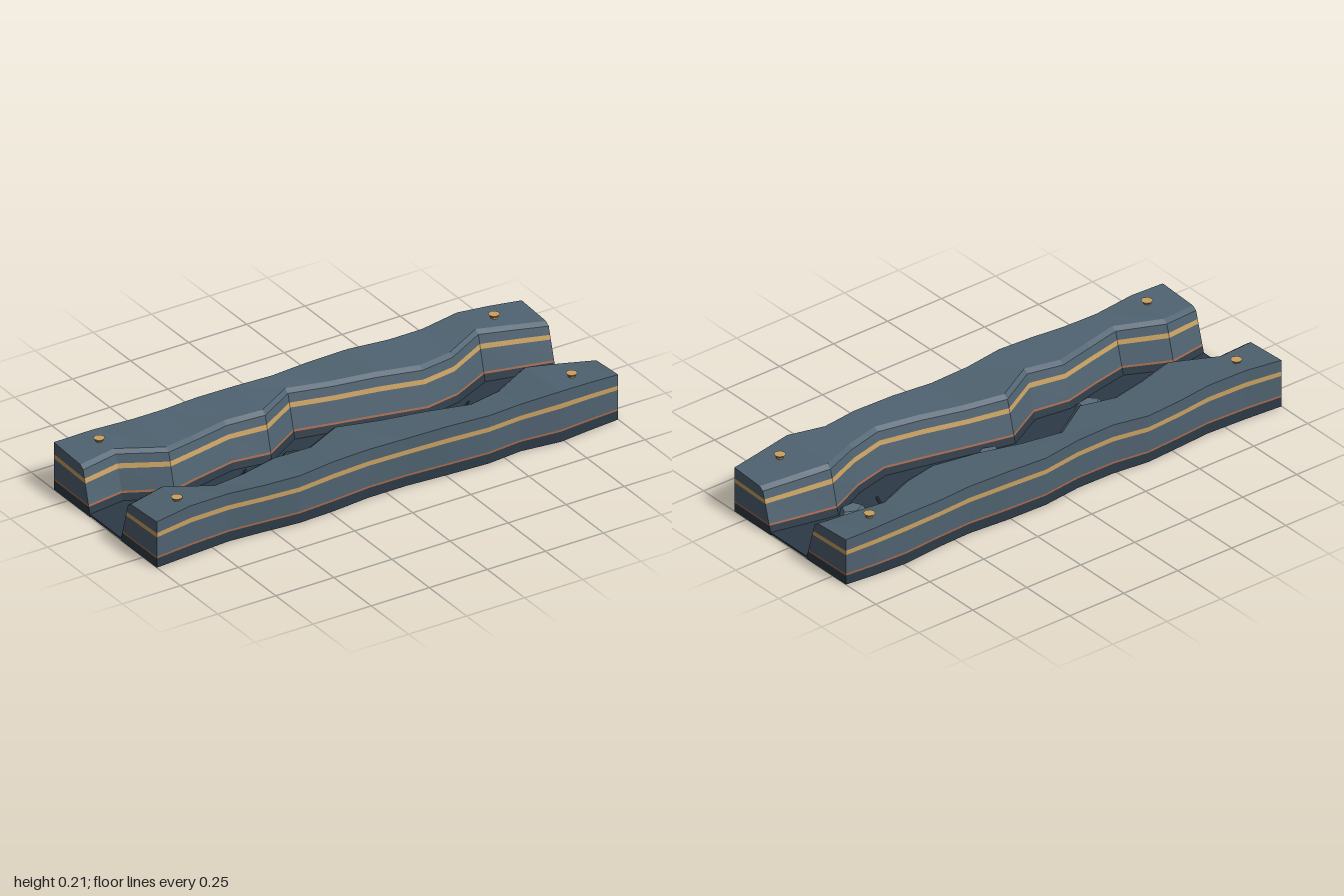
import * as THREE from 'three';

const mat = (name, color) => {
  const m = new THREE.MeshStandardMaterial({ color, flatShading: true });
  m.name = name;
  return m;
};

// stations along the trench: x, then [outer z, inner foot z, outer height, inner height] per wall
const X = [-1, -0.845, -0.675, -0.535, -0.385, -0.235, -0.075, 0.09, 0.26, 0.43, 0.575, 0.735, 0.87, 1];
const FRONT = {
  side: 1,
  out: [0.342, 0.33, 0.318, 0.328, 0.342, 0.336, 0.32, 0.32, 0.333, 0.342, 0.328, 0.348, 0.333, 0.321],
  foot: [0.1, 0.075, 0.16, 0.135, 0.1, 0.12, 0.035, 0.074, 0.115, 0.155, 0.122, 0.047, 0.077, 0.108],
  high: [0.19, 0.205, 0.198, 0.193, 0.195, 0.206, 0.2, 0.196, 0.201, 0.198, 0.195, 0.209, 0.198, 0.186],
};
const BACK = {
  side: -1,
  out: [0.348, 0.336, 0.328, 0.338, 0.348, 0.33, 0.328, 0.347, 0.342, 0.328, 0.333, 0.348, 0.34, 0.326],
  foot: [0.103, 0.123, 0.035, 0.068, 0.098, 0.073, 0.17, 0.133, 0.093, 0.055, 0.08, 0.155, 0.125, 0.096],
  high: [0.196, 0.206, 0.203, 0.196, 0.196, 0.206, 0.202, 0.198, 0.204, 0.199, 0.196, 0.209, 0.2, 0.19],
};

// closed solid through convex (z, y) sections, wound counter-clockwise seen from +x
function loft(sections) {
  const pos = [];
  const put = (i, j) => pos.push(X[i], sections[i][j][1], sections[i][j][0]);
  const tri = (...corners) => corners.forEach(([i, j]) => put(i, j));
  const n = sections[0].length, last = sections.length - 1;
  for (let i = 0; i < last; i++) {
    for (let j = 0; j < n; j++) {
      const k = (j + 1) % n;
      tri([i, j], [i, k], [i + 1, k]);
      tri([i, j], [i + 1, k], [i + 1, j]);
    }
  }
  for (let j = 1; j < n - 1; j++) {
    tri([0, 0], [0, j + 1], [0, j]);
    tri([last, 0], [last, j], [last, j + 1]);
  }
  const g = new THREE.BufferGeometry();
  g.setAttribute('position', new THREE.Float32BufferAttribute(pos, 3));
  g.computeVertexNormals();
  return g;
}

// one layer of a wall between two fractions of its height
function wallLayer(wall, f0, f1) {
  const { side, out, foot, high } = wall;
  return loft(X.map((_, i) => {
    const hOut = high[i], hIn = high[i] - 0.009;
    const inner = (f) => [side * (foot[i] + 0.052 * f), hIn * f];
    const pts = [[side * out[i], hOut * f0], inner(f0)];
    if (f1 === 1) pts.push(inner(0.93), [side * (foot[i] + 0.067), hIn]);
    else pts.push(inner(f1));
    pts.push([side * out[i], hOut * f1]);
    return side > 0 ? pts : pts.reverse();
  }));
}

export function createModel() {
  const model = new THREE.Group();
  model.name = 'trench';
  const slate = mat('slate', 0x4f6270);
  const dark = mat('dark slate', 0x2c3a46);
  const ochre = mat('ochre', 0xc8a062);
  const rust = mat('rust', 0xa5694c);
  const stone = mat('stone', 0x5a6c79);
  const black = mat('crack black', 0x1a232b);

  const add = (parent, name, geometry, material, x = 0, y = 0, z = 0) => {
    const m = new THREE.Mesh(geometry, material);
    m.name = name;
    m.position.set(x, y, z);
    parent.add(m);
    return m;
  };

  // layered walls
  const layers = [
    ['base', 0, 0.2, dark],
    ['rustSeam', 0.2, 0.24, rust],
    ['lowerRock', 0.24, 0.66, slate],
    ['ochreSeam', 0.66, 0.755, ochre],
    ['upperRock', 0.755, 1, slate],
  ];
  for (const [name, wall] of [['frontWall', FRONT], ['backWall', BACK]]) {
    const group = new THREE.Group();
    group.name = name;
    for (const [part, f0, f1, m] of layers) add(group, part, wallLayer(wall, f0, f1), m);
    model.add(group);
  }

  // thin floor following both wall feet
  add(model, 'floor', loft(X.map((_, i) => {
    const a = FRONT.foot[i] + 0.01, b = -BACK.foot[i] - 0.01;
    return [[a, 0.003], [b, 0.003], [b, 0.011], [a, 0.011]];
  })), dark);

  // five-sided stones, tall pale ones and low dark ones
  const rock = (name, m, x, z, r, height, turn) => {
    const g = new THREE.CylinderGeometry(r * 0.65, r, height, 5);
    g.rotateY(turn);
    g.scale(1, 1, 0.68);
    add(model, name, g, m, x, height / 2, z);
  };
  [[-0.82, 0.035], [-0.44, 0.068], [0.055, 0.03], [0.685, 0.035]].forEach(([x, z], i) =>
    rock('paleStone', stone, x, z, 0.067, 0.033, 0.4 + i * 0.5));
  [[-0.615, -0.035], [-0.155, -0.065], [0.425, -0.035]].forEach(([x, z], i) =>
    rock('darkStone', dark, x, z, 0.065, 0.024, 0.3 + i * 0.6));

  // zigzag floor cracks
  const path = [[0.03, -0.075], [-0.028, -0.025], [-0.004, -0.002], [-0.03, 0.06]];
  const w = 0.007;
  const crackShape = new THREE.Shape([
    ...path.map(([x, z]) => new THREE.Vector2(x - w, -z)),
    ...path.slice().reverse().map(([x, z]) => new THREE.Vector2(x + w, -z)),
  ]);
  const crack = new THREE.ExtrudeGeometry(crackShape, { depth: 0.003, bevelEnabled: false });
  crack.rotateX(-Math.PI / 2);
  for (const [x, z] of [[-0.38, -0.005], [0.09, -0.01], [0.575, 0.005]]) {
    add(model, 'crack', crack, black, x, 0.0105, z);
  }

  // flared marker studs near the corners
  const cap = new THREE.CylinderGeometry(0.022, 0.015, 0.009, 8);
  const stem = new THREE.CylinderGeometry(0.014, 0.014, 0.03, 8);
  for (const x of [-0.86, 0.84]) {
    for (const z of [-0.262, 0.258]) {
      const stud = new THREE.Group();
      stud.name = 'stud';
      stud.position.set(x, 0, z);
      add(stud, 'studCap', cap, ochre, 0, 0.2085, 0);
      add(stud, 'studStem', stem, ochre, 0, 0.19, 0);
      model.add(stud);
    }
  }
  return model;
}
